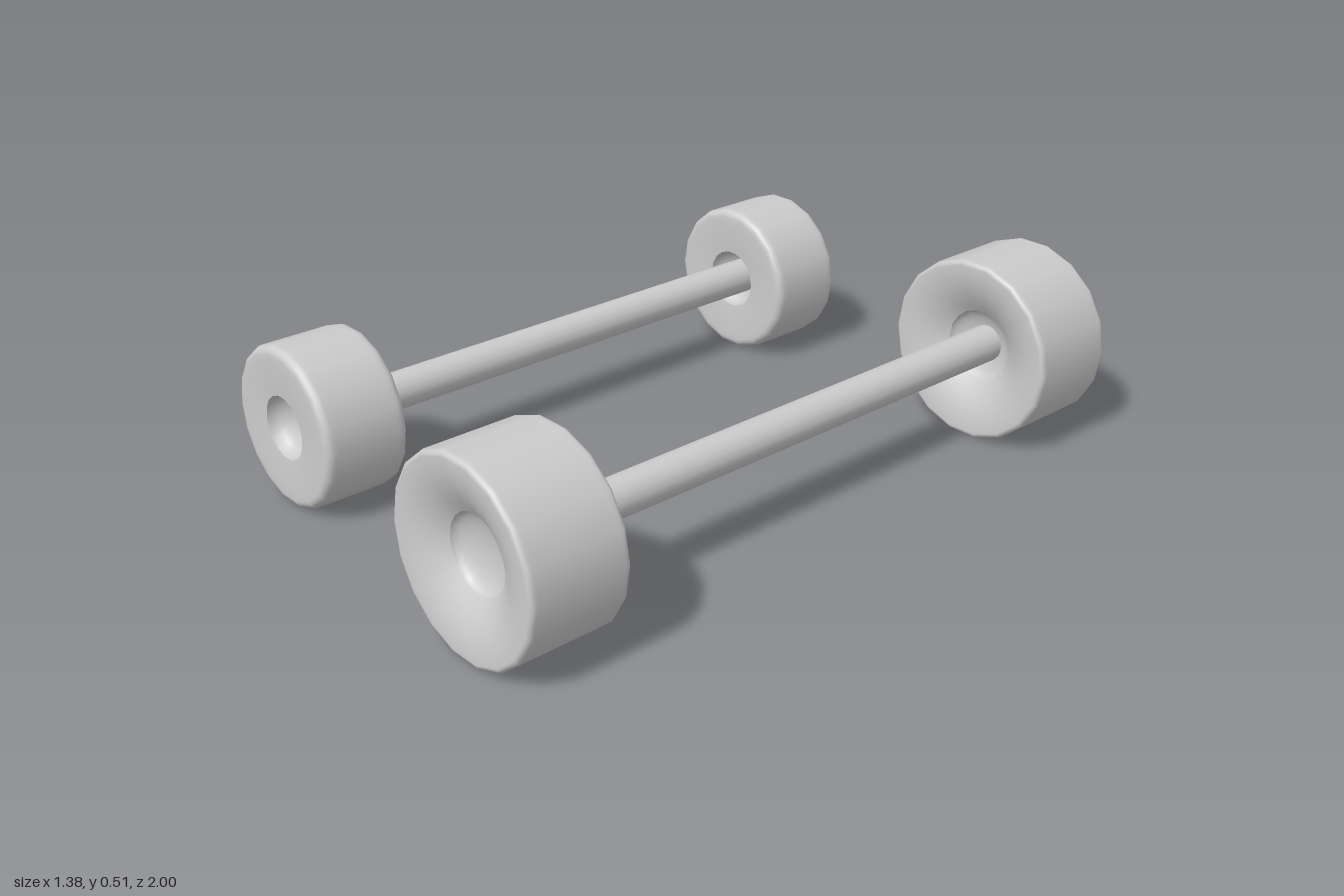
import * as THREE from 'three';

const material = new THREE.MeshStandardMaterial({ color: 0xcccccc, side: THREE.DoubleSide });
const SIDES = 18;

// Surface of revolution about z, with a flat facet at top and bottom
function turned(name, points) {
  const profile = points.map(([r, z]) => new THREE.Vector2(r, z));
  const geometry = new THREE.LatheGeometry(profile, SIDES, Math.PI / 2);
  geometry.rotateX(Math.PI / 2);
  const mesh = new THREE.Mesh(geometry, material);
  mesh.name = name;
  return mesh;
}

// Wheel: rounded tyre, dished on both faces, with a shallow bowl in each hub
function makeWheel(name, { radius, halfWidth, hole, dish, bowl, round }) {
  const wheel = new THREE.Group();
  wheel.name = name;

  // Half of the tyre section, from the tread to the hub hole
  const half = [[radius, halfWidth - round * 1.6]];
  for (let i = 0; i <= 4; i++) {
    const a = (i / 4) * Math.PI / 2;
    half.push([radius - round + Math.cos(a) * round, halfWidth - round + Math.sin(a) * round]);
  }
  const faceWidth = radius - round - hole;
  for (let i = 1; i <= 6; i++) {
    const t = i / 6;
    half.push([radius - round - faceWidth * t, halfWidth - dish * t * t]);
  }
  const back = half.map(([r, z]) => [r, -z]).reverse();
  wheel.add(turned('tyre', [...back, ...half]));

  // Hub bowls
  const edge = halfWidth - dish;
  const hub = [];
  for (let i = 0; i <= 6; i++) {
    const a = (i / 6) * Math.PI / 2;
    hub.push([Math.max(hole * Math.cos(a), 0), edge - bowl * Math.sin(a)]);
  }
  wheel.add(turned('outerHub', hub));
  wheel.add(turned('innerHub', hub.map(([r, z]) => [r, -z]).reverse()));
  return wheel;
}

// Axle with a wheel at each end
function makeAxleSet(name, x, y, wheelZ, spec) {
  const set = new THREE.Group();
  set.name = name;
  set.position.set(x, y, 0);
  for (const side of [1, -1]) {
    const wheel = makeWheel(side > 0 ? 'leftWheel' : 'rightWheel', spec);
    wheel.position.z = side * wheelZ;
    set.add(wheel);
  }
  const length = 2 * (wheelZ - spec.halfWidth + spec.dish + spec.bowl + 0.01);
  const geometry = new THREE.CylinderGeometry(0.052, 0.052, length, SIDES);
  geometry.rotateX(Math.PI / 2);
  const axle = new THREE.Mesh(geometry, material);
  axle.name = 'axle';
  set.add(axle);
  return set;
}

export function createModel() {
  const model = new THREE.Group();
  model.name = 'wheelsAndAxles';
  model.add(makeAxleSet('smallWheelSet', -0.47, 0.222, 0.793,
    { radius: 0.222, halfWidth: 0.12, hole: 0.088, dish: 0.006, bowl: 0.06, round: 0.022 }));
  model.add(makeAxleSet('largeWheelSet', 0.43, 0.257, 0.862,
    { radius: 0.26, halfWidth: 0.138, hole: 0.103, dish: 0.05, bowl: 0.04, round: 0.014 }));
  return model;
}
